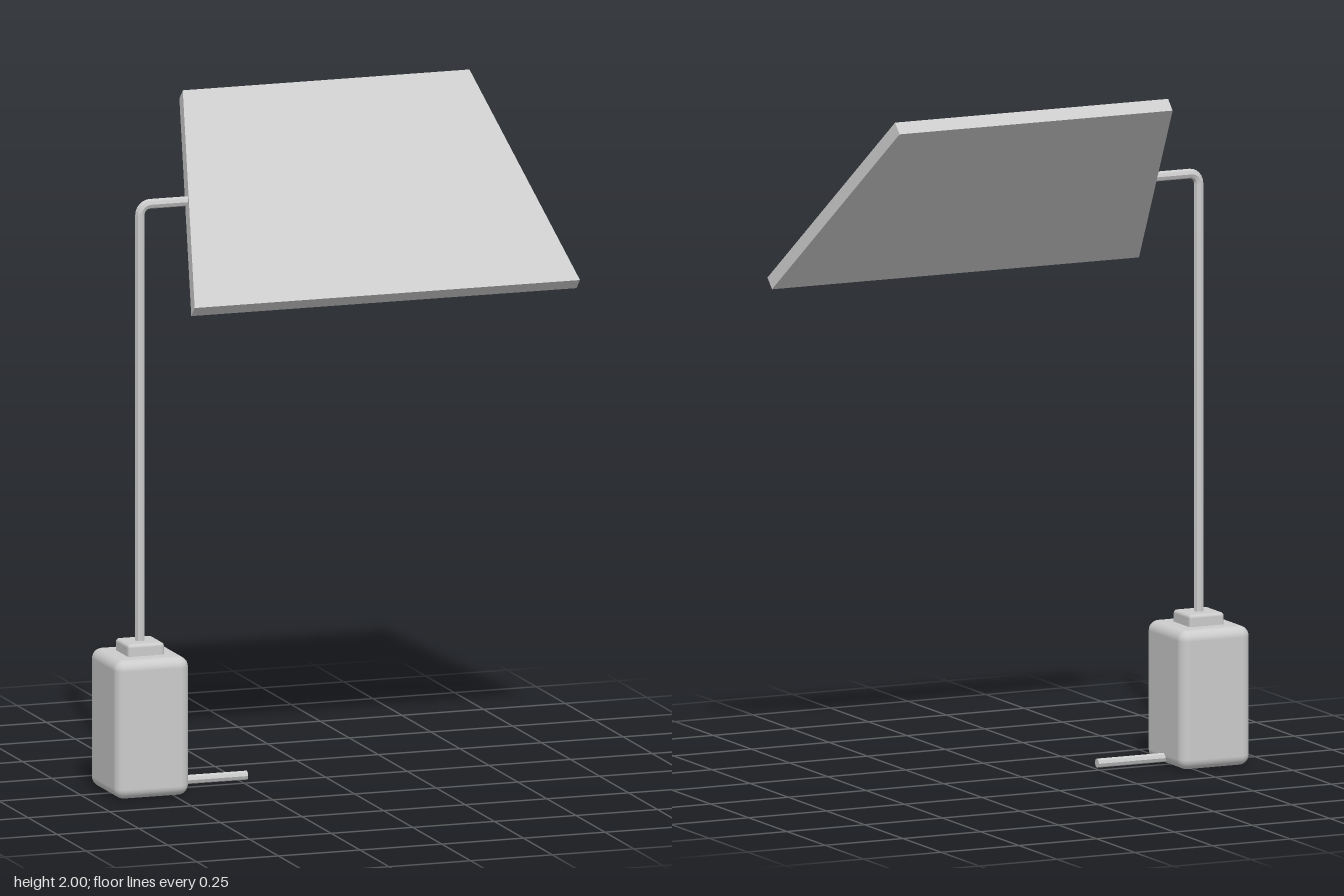
import * as THREE from 'three';
import { RoundedBoxGeometry } from 'three/addons/geometries/RoundedBoxGeometry.js';

const smooth = new THREE.MeshStandardMaterial({ color: 0xcccccc });
const flat = new THREE.MeshStandardMaterial({ color: 0xcccccc, flatShading: true });

export function createModel() {
  const model = new THREE.Group();
  model.name = 'lamp';

  const add = (name, geometry, material, x = 0, y = 0, z = 0, parent = model) => {
    const mesh = new THREE.Mesh(geometry, material);
    mesh.name = name;
    mesh.position.set(x, y, z);
    parent.add(mesh);
    return mesh;
  };

  const postX = -0.567, postZ = -0.005, armY = 1.727;
  const tubeR = 0.0145, bend = 0.03, sides = 8;

  // Rounded base block with a small collar on top
  add('base', new RoundedBoxGeometry(0.226, 0.408, 0.24, 5, 0.03), smooth, postX, 0.204, postZ);
  add('collar', new RoundedBoxGeometry(0.112, 0.07, 0.114, 3, 0.01), smooth, postX, 0.408, postZ);

  // Bent pole: upright, elbow and horizontal arm ending inside the shade
  const pole = new THREE.Group();
  pole.name = 'pole';
  model.add(pole);
  const rod = (name, r, length, parent) =>
    add(name, new THREE.CylinderGeometry(r, r, length, sides), flat, 0, 0, 0, parent);

  const bottom = 0.4, top = armY - bend;
  rod('upright', tubeR, top - bottom, pole).position.set(postX, (top + bottom) / 2, postZ);

  const elbowCurve = new THREE.CubicBezierCurve3(
    new THREE.Vector3(postX, top, postZ),
    new THREE.Vector3(postX, top + bend * 0.55, postZ),
    new THREE.Vector3(postX + bend * 0.45, armY, postZ),
    new THREE.Vector3(postX + bend, armY, postZ)
  );
  add('elbow', new THREE.TubeGeometry(elbowCurve, 6, tubeR, sides), flat, 0, 0, 0, pole);

  const armStart = postX + bend, armEnd = -0.3;
  const arm = rod('arm', tubeR, armEnd - armStart, pole);
  arm.rotation.z = Math.PI / 2;
  arm.position.set((armStart + armEnd) / 2, armY, postZ);

  // Short cable stub leaving the base near the ground
  const cable = rod('cable', 0.0135, 0.26, model);
  cable.rotation.z = Math.PI / 2;
  cable.position.set(-0.37, 0.022, postZ);

  // Flat trapezoid shade, tilted back 45 degrees
  const half = 0.373, thickness = 0.042;
  const outline = new THREE.Shape([
    new THREE.Vector2(-0.59, -half),
    new THREE.Vector2(0.59, -half),
    new THREE.Vector2(0.439, half),
    new THREE.Vector2(-0.439, half)
  ]);
  const shadeGeometry = new THREE.ExtrudeGeometry(outline, { depth: thickness, bevelEnabled: false });
  shadeGeometry.translate(0, 0, -thickness / 2);
  add('shade', shadeGeometry, flat, 0.09, 1.722, 0).rotation.x = -Math.PI / 4;

  return model;
}
